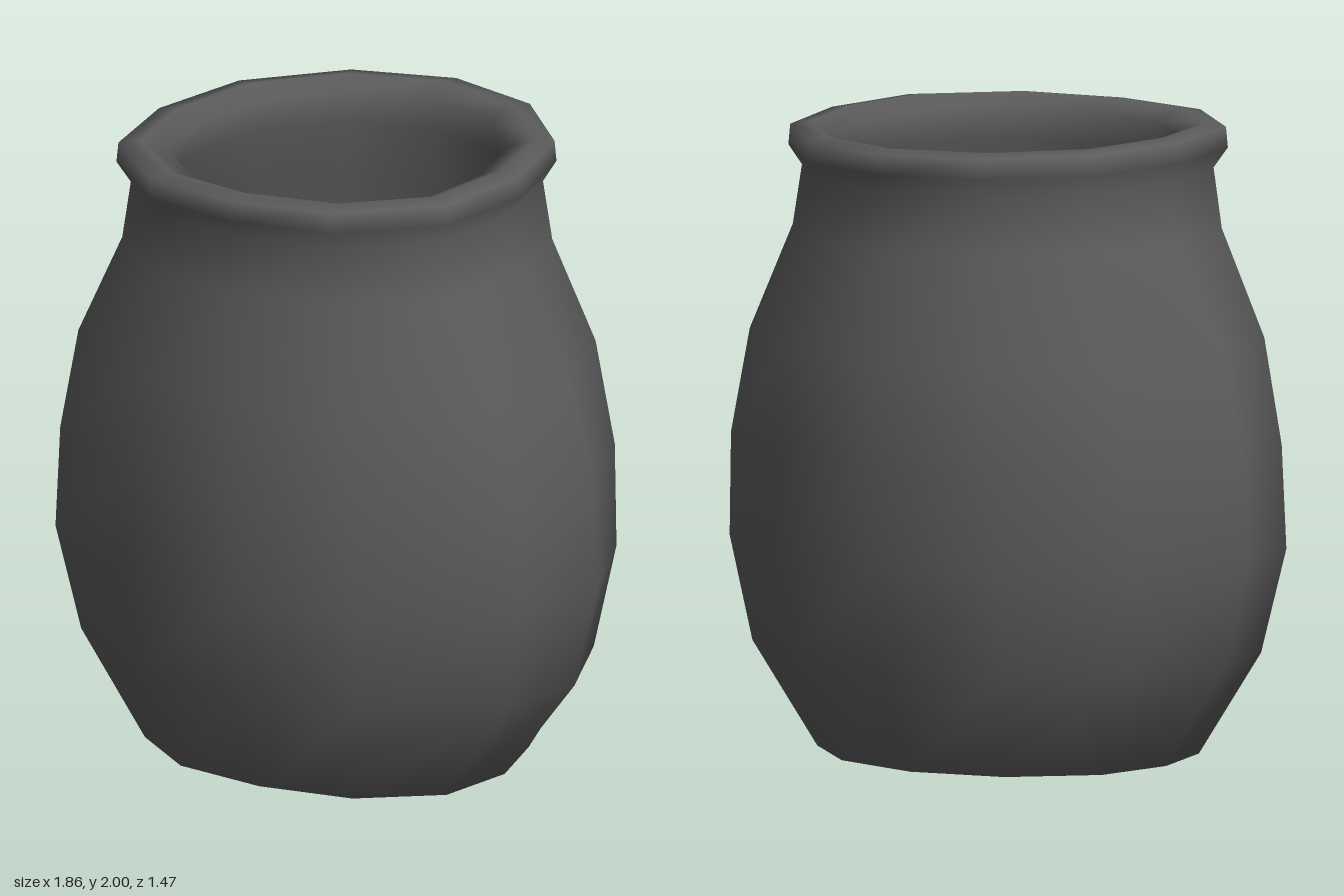
import * as THREE from 'three';

const SIDES = 12;

// Cross-sections from the base centre, up the outside, over the lip and down inside:
// [height, half width x, half depth z, centre x, centre z]
const RINGS = [
  [0, 0, 0, 0, 0],
  [0, 0.48, 0.41, -0.01, 0.015],
  [0, 0.605, 0.515, -0.01, 0.015],
  [0.335, 0.845, 0.658, 0, 0.007],
  [0.67, 0.932, 0.72, 0, 0.008],
  [1.0, 0.915, 0.73, 0, 0],
  [1.335, 0.83, 0.725, -0.01, -0.005],
  [1.67, 0.658, 0.65, -0.013, 0],
  [1.86, 0.62, 0.645, -0.015, 0],
  [1.925, 0.665, 0.692, -0.015, 0],
  [1.99, 0.657, 0.69, -0.015, 0],
  [2.0, 0.59, 0.62, -0.015, 0],
  [1.965, 0.505, 0.542, -0.015, -0.005],
  [1.86, 0.53, 0.56, -0.015, 0],
  [1.67, 0.57, 0.57, -0.013, 0],
  [1.33, 0.73, 0.63, -0.01, 0],
  [1.0, 0.81, 0.63, 0, 0],
  [0.67, 0.83, 0.62, 0, 0],
  [0.37, 0.75, 0.57, 0, 0],
  [0.1, 0.53, 0.44, -0.01, 0],
  [0.1, 0.44, 0.36, -0.01, 0],
  [0.1, 0, 0, 0, 0],
];

// Outlines of the round neck and the pinched belly, from back to front on the +x side: [x, z]
const NECK = [[0, -1.015], [0.51, -0.87], [0.89, -0.47], [1, 0.04], [0.91, 0.56], [0.52, 0.91], [0, 1]];
const BELLY = [[0, -1.005], [0.44, -0.885], [0.82, -0.525], [1, 0.03], [0.915, 0.49], [0.45, 0.92], [0, 1]];

// One point of a ring; the outline turns from neck to belly as the ring widens
function ringPoint([y, rx, rz, cx, cz], i) {
  const mirrored = i > 6;
  const k = mirrored ? SIDES - i : i;
  const belly = THREE.MathUtils.clamp((rx - 0.6) / 0.3, 0, 1);
  const x = THREE.MathUtils.lerp(NECK[k][0], BELLY[k][0], belly);
  const z = THREE.MathUtils.lerp(NECK[k][1], BELLY[k][1], belly);
  return [cx + rx * (mirrored ? -x : x), y, cz + rz * z];
}

function jarGeometry() {
  const pos = [], index = [];
  RINGS.forEach((ring, r) => {
    for (let i = 0; i < SIDES; i++) {
      pos.push(...ringPoint(ring, i));
      if (r === RINGS.length - 1) continue;
      const j = (i + 1) % SIDES;
      const a = r * SIDES + i, b = r * SIDES + j;
      const c = a + SIDES, d = b + SIDES;
      // Skip the empty triangle at the closed centres
      if (r > 0) index.push(a, c, b);
      if (r < RINGS.length - 2) index.push(b, c, d);
    }
  });
  const g = new THREE.BufferGeometry();
  g.setAttribute('position', new THREE.Float32BufferAttribute(pos, 3));
  g.setIndex(index);
  g.computeVertexNormals();
  return g;
}

export function createModel() {
  const group = new THREE.Group();
  group.name = 'jar';
  // Hollow oval body with a rolled lip, in dark clay grey
  const body = new THREE.Mesh(jarGeometry(), new THREE.MeshStandardMaterial({ color: 0x5c5c5c }));
  body.name = 'jarBody';
  group.add(body);
  return group;
}
